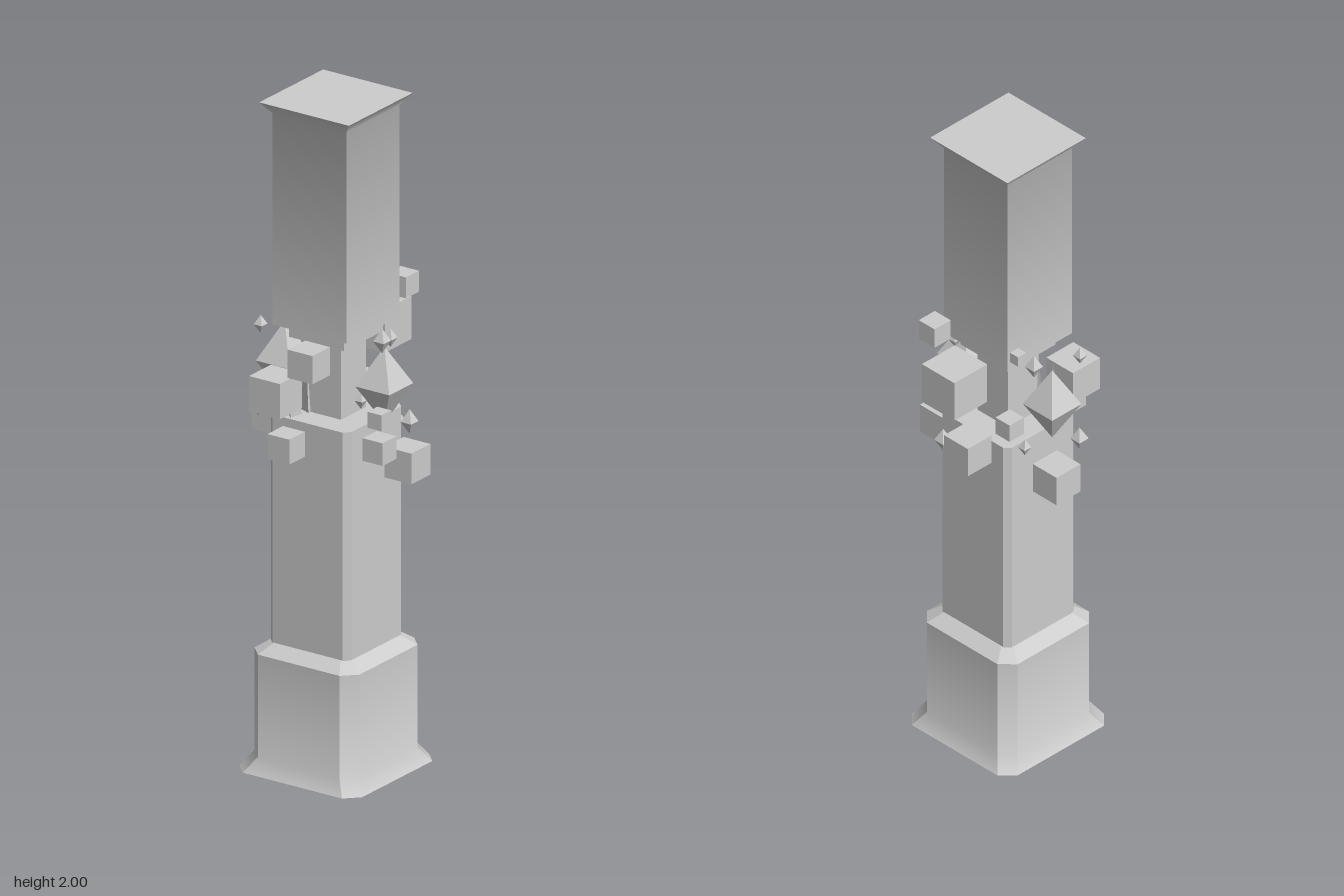
import * as THREE from 'three';
import { ConvexGeometry } from 'three/addons/geometries/ConvexGeometry.js';

const CX = -0.014, CZ = 0.014; // pillar axis

// Corners of a square ring with clipped corners, counter-clockwise seen from above
function ring([half, chamfer, y]) {
  const h = half, k = half - chamfer;
  const pts = chamfer > 0
    ? [[k, h], [h, k], [h, -k], [k, -h], [-k, -h], [-h, -k], [-h, k], [-k, h]]
    : [[h, h], [h, -h], [-h, -h], [-h, h]];
  return pts.map(([x, z]) => new THREE.Vector3(x, y, z));
}

// Stacks rings bottom to top; sides are smooth along the height, creased at corners
function loft(profile) {
  const rings = profile.map(ring), n = rings[0].length;
  const pos = [], nor = [];
  const put = (p, nrm) => { pos.push(p.x, p.y, p.z); nor.push(nrm.x, nrm.y, nrm.z); };
  for (let i = 0; i < n; i++) {
    const j = (i + 1) % n;
    const faces = rings.slice(1).map((r, s) => {
      const along = rings[s][j].clone().sub(rings[s][i]);
      const up = r[i].clone().add(r[j]).sub(rings[s][i]).sub(rings[s][j]);
      return along.cross(up).normalize();
    });
    const soft = rings.map((_, s) => (faces[s - 1] || faces[s]).clone().add(faces[s] || faces[s - 1]).normalize());
    for (let s = 0; s < faces.length; s++) {
      const a = rings[s][i], b = rings[s][j], c = rings[s + 1][j], d = rings[s + 1][i];
      for (const [p, m] of [[a, s], [b, s], [c, s + 1], [a, s], [c, s + 1], [d, s + 1]]) put(p, soft[m]);
    }
  }
  // End caps
  const down = new THREE.Vector3(0, -1, 0), up = new THREE.Vector3(0, 1, 0);
  const bottom = rings[0], top = rings[rings.length - 1];
  for (let i = 1; i < n - 1; i++) {
    for (const p of [bottom[0], bottom[i + 1], bottom[i]]) put(p, down);
    for (const p of [top[0], top[i], top[i + 1]]) put(p, up);
  }
  const g = new THREE.BufferGeometry();
  g.setAttribute('position', new THREE.Float32BufferAttribute(pos, 3));
  g.setAttribute('normal', new THREE.Float32BufferAttribute(nor, 3));
  // Rings run clockwise or counter-clockwise consistently: sides face outward
  return g;
}

// Four-sided double pyramid with its edges square to the axes
function crystalGeometry(half, height) {
  const pts = [[0, height, 0], [0, -height, 0]];
  for (const x of [-half, half]) for (const z of [-half, half]) pts.push([x, 0, z]);
  return new ConvexGeometry(pts.map(p => new THREE.Vector3(...p)));
}

export function createModel() {
  const model = new THREE.Group();
  model.name = 'brokenPillar';
  const stone = new THREE.MeshStandardMaterial({ color: 0xcccccc });
  stone.name = 'grey stone';

  const add = (name, geometry, x, y, z, parent = model) => {
    const mesh = new THREE.Mesh(geometry, stone);
    mesh.name = name;
    mesh.position.set(x, y, z);
    parent.add(mesh);
    return mesh;
  };

  // Pillar, from the ground up
  const pillar = [
    ['base', [[0.21, 0.04, 0], [0.18, 0.04, 0.045], [0.18, 0.04, 0.352]]],
    ['baseShoulder', [[0.18, 0.04, 0.352], [0.14, 0.025, 0.38]]],
    ['lowerShaft', [[0.138, 0.018, 0.375], [0.138, 0.018, 1.065]]],
    ['core', [[0.06, 0, 1.06], [0.06, 0, 1.3]]],
    ['coreStep', [[0.094, 0, 1.29], [0.094, 0, 1.335]]],
    ['upperShaft', [[0.127, 0, 1.33], [0.127, 0, 1.965], [0.154, 0, 2]]],
  ];
  for (const [name, profile] of pillar) add(name, loft(profile), CX, 0, CZ);

  // Splinters left standing on the broken edge
  const splinters = [
    [[-0.076, 1.26, -0.045], [-0.085, 1.06, -0.03], [-0.07, 1.06, -0.07], [-0.06, 1.06, -0.03]],
    [[-0.13, 1.2, -0.05], [-0.145, 1.06, -0.05], [-0.09, 1.06, -0.105], [-0.1, 1.06, -0.04]],
  ];
  for (const pts of splinters)
    add('splinter', new ConvexGeometry(pts.map(p => new THREE.Vector3(...p))), 0, 0, 0);

  // Floating blocks: x, y, z, size
  const blocks = new THREE.Group();
  blocks.name = 'floatingBlocks';
  model.add(blocks);
  for (const [x, y, z, s] of [
    [-0.221, 1.283, 0.068, 0.085], [-0.184, 1.15, -0.073, 0.106], [-0.229, 1.02, -0.004, 0.075],
    [-0.08, 1.012, 0.211, 0.068], [0.026, 0.946, 0.231, 0.092], [0.198, 1.265, 0.012, 0.129],
    [0.183, 1.05, -0.026, 0.094], [0.08, 1.11, -0.088, 0.056], [0.189, 1.4, 0.1, 0.063],
    [0.105, 1.387, -0.147, 0.032], [0.038, 0.983, -0.232, 0.094], [-0.121, 1.12, 0.239, 0.048],
  ]) add('block', new THREE.BoxGeometry(s, s, s), x, y, z, blocks);

  // Floating crystals: x, y, z, half width, half height
  const crystals = new THREE.Group();
  crystals.name = 'floatingCrystals';
  model.add(crystals);
  for (const [x, y, z, w, h] of [
    [-0.014, 1.175, 0.18, 0.058, 0.115], [-0.014, 1.175, -0.162, 0.058, 0.115],
    [-0.078, 1.336, 0.218, 0.018, 0.037], [0.037, 1.06, 0.23, 0.018, 0.037],
    [0.149, 0.997, 0.107, 0.018, 0.037], [-0.075, 1.05, -0.209, 0.018, 0.037],
    [0.039, 1.32, -0.143, 0.018, 0.037], [-0.105, 1.305, -0.18, 0.014, 0.027],
    [0.065, 1.283, 0.145, 0.014, 0.028], [0.082, 1.068, -0.15, 0.013, 0.027],
    [-0.014, 1.11, 0.1, 0.013, 0.026],
  ]) add('crystal', crystalGeometry(w, h), x, y, z, crystals);

  return model;
}
